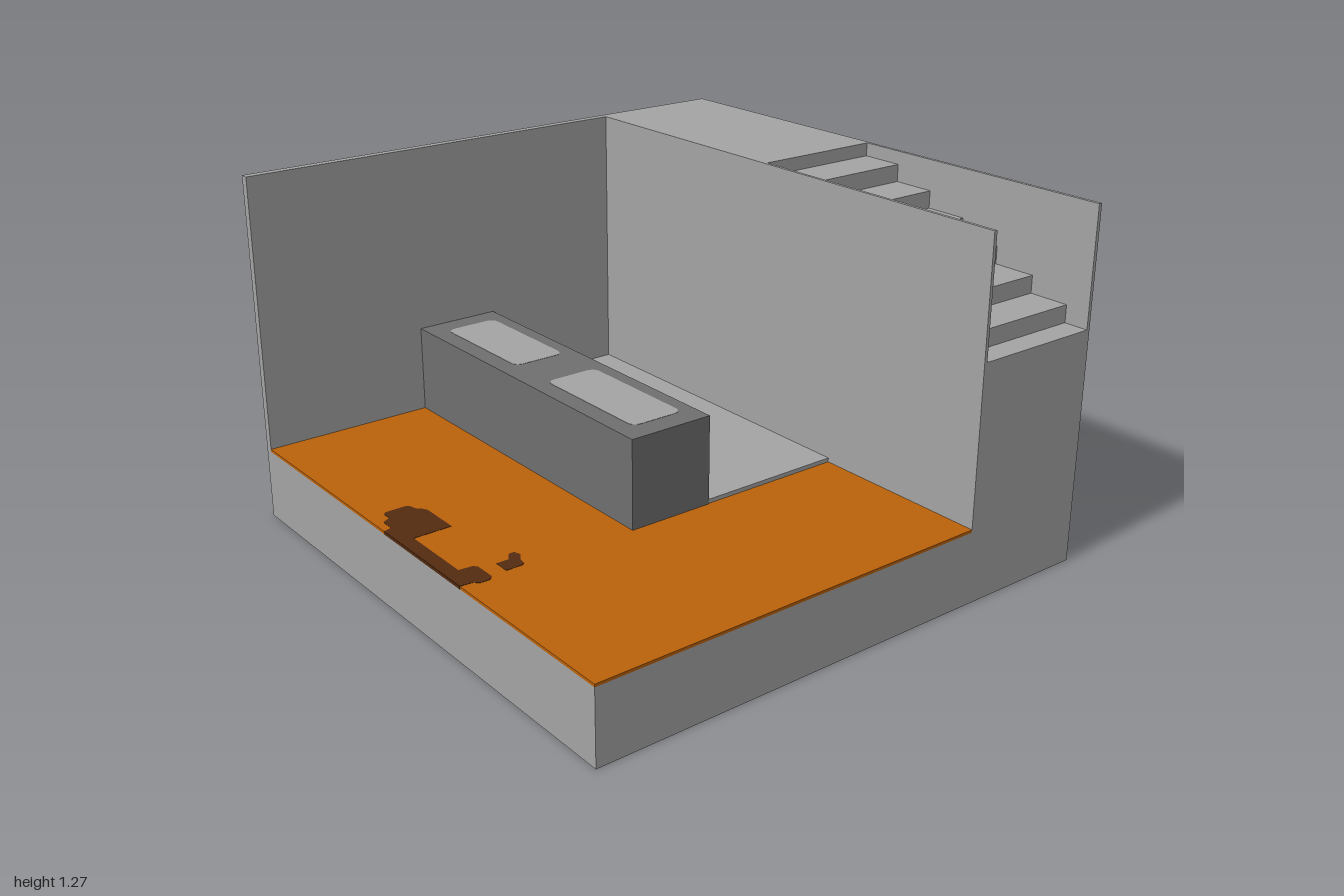
import * as THREE from 'three';

export function createModel() {
  const root = new THREE.Group();
  root.name = 'room';

  const mat = (name, color) => {
    const m = new THREE.MeshStandardMaterial({ color });
    m.name = name;
    return m;
  };
  const concrete = mat('concrete grey', 0xa4a4a4);
  const darkGrey = mat('counter grey', 0x6f6f6f);
  const orange = mat('floor orange', 0xbb620b);
  const brown = mat('stain brown', 0x552c10);

  const add = (name, geometry, material) => {
    const mesh = new THREE.Mesh(geometry, material);
    mesh.name = name;
    root.add(mesh);
    return mesh;
  };
  // Box given by its extents on each axis
  const box = (name, material, [x0, x1], [y0, y1], [z0, z1]) => {
    const mesh = add(name, new THREE.BoxGeometry(x1 - x0, y1 - y0, z1 - z0), material);
    mesh.position.set((x0 + x1) / 2, (y0 + y1) / 2, (z0 + z1) / 2);
  };
  // Thin horizontal plate from a shape drawn as (x, -z)
  const plate = (name, material, shape, y) => {
    const g = new THREE.ExtrudeGeometry(shape, { depth: 0.002, bevelEnabled: false, curveSegments: 6 });
    g.rotateX(-Math.PI / 2);
    add(name, g, material).position.y = y;
  };
  const polygon = (points) => new THREE.Shape(points.map(([x, z]) => new THREE.Vector2(x, -z)));

  const floorY = 0.272, top = 1.27, wallX = -0.97, backZ = -0.495;

  // Foundation, floor and side wall
  box('foundation', concrete, [-1, 1], [0, 0.262], [backZ, 1]);
  box('floor', orange, [wallX, 1], [0.262, floorY], [backZ, 1]);
  box('sideWall', concrete, [-1, wallX], [0.262, top], [backZ, 1]);

  // Rear block with the stairs cut into it, descending towards +x
  const stairs = [[-1, 0], [1, 0]];
  const edges = [-0.04, 0.12, 0.28, 0.44, 0.6, 0.76, 0.91, 1];
  for (let i = 6; i >= 0; i--) {
    const y = 1.222 - i * 0.0628;
    stairs.push([edges[i + 1], y], [edges[i], y]);
  }
  stairs.push([edges[0], top], [-1, top]);
  const stairShape = new THREE.Shape(stairs.map(([x, y]) => new THREE.Vector2(x, y)));
  const stairGeo = new THREE.ExtrudeGeometry(stairShape, { depth: 0.48, bevelEnabled: false });
  add('stairBlock', stairGeo, concrete).position.z = -0.987;
  box('rearStairWall', concrete, [-1, 1], [0, top], [-1, -0.987]);
  box('frontStairWall', concrete, [-1, 1], [0, top], [-0.507, backZ]);

  // Counter and the raised platform behind it
  box('platform', concrete, [wallX, 0.33], [floorY, 0.287], [backZ, 0.05]);
  box('counter', darkGrey, [wallX, 0.333], [floorY, 0.59], [0.05, 0.367]);

  // Rounded panels on the counter top
  for (const [x0, x1] of [[-0.89, -0.43], [-0.24, 0.25]]) {
    const r = 0.035, a = -0.3, b = -0.1;
    const s = new THREE.Shape();
    s.moveTo(x0 + r, a).lineTo(x1 - r, a);
    s.quadraticCurveTo(x1, a, x1, a + r).lineTo(x1, b - r);
    s.quadraticCurveTo(x1, b, x1 - r, b).lineTo(x0 + r, b);
    s.quadraticCurveTo(x0, b, x0, b - r).lineTo(x0, a + r);
    s.quadraticCurveTo(x0, a, x0 + r, a);
    plate('counterPanel', concrete, s, 0.589);
  }

  // Stains on the floor, the large one running over the front edge
  plate('largeStain', brown, polygon([
    [-0.27, 0.85], [-0.255, 0.84], [-0.23, 0.835], [-0.22, 0.82], [-0.2, 0.81], [-0.05, 0.81],
    [-0.05, 0.95], [0.22, 0.95], [0.225, 0.9], [0.24, 0.89], [0.315, 0.89], [0.33, 0.905],
    [0.33, 0.94], [0.315, 0.955], [0.31, 1], [-0.15, 1], [-0.16, 0.97], [-0.21, 0.97],
    [-0.225, 0.94], [-0.26, 0.94], [-0.27, 0.93],
  ]), floorY - 0.001);
  plate('smallStain', brown, polygon([
    [0.225, 0.75], [0.25, 0.742], [0.275, 0.76], [0.305, 0.765], [0.312, 0.775], [0.312, 0.835],
    [0.255, 0.835], [0.255, 0.79], [0.225, 0.77],
  ]), floorY - 0.001);
  box('stainEdge', brown, [-0.15, 0.31], [0.262, floorY], [0.999, 1.001]);

  return root;
}
